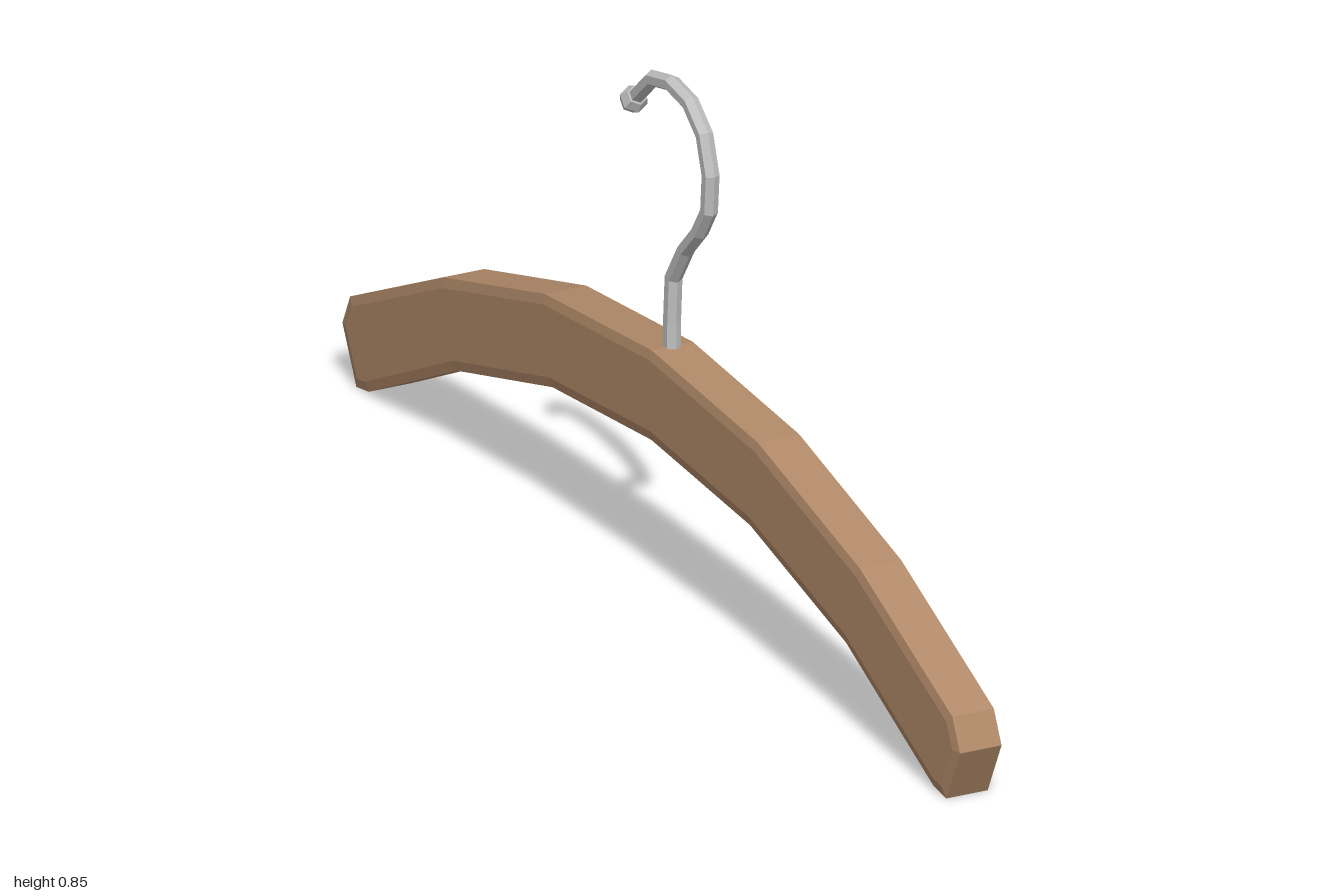
import * as THREE from 'three';

const wood = new THREE.MeshStandardMaterial({ name: 'wood', color: 0xb08968 });
const metal = new THREE.MeshStandardMaterial({ name: 'metal', color: 0xc0c0c0 });

// Faceted hexagonal rod along a path of [z, y] points in the x = 0 plane
function rodGeometry(path, radius, sides) {
  const positions = [], index = [];
  path.forEach(([z, y], i) => {
    const [z0, y0] = path[Math.max(i - 1, 0)];
    const [z1, y1] = path[Math.min(i + 1, path.length - 1)];
    const length = Math.hypot(z1 - z0, y1 - y0);
    const tz = (z1 - z0) / length, ty = (y1 - y0) / length;
    for (let k = 0; k < sides; k++) {
      const a = (k / sides) * Math.PI * 2;
      const out = radius * Math.cos(a);
      positions.push(radius * Math.sin(a), y - out * tz, z + out * ty);
      if (i < path.length - 1) {
        const n = (k + 1) % sides;
        const p = i * sides + k, q = i * sides + n;
        index.push(p, q, q + sides, p, q + sides, p + sides);
      }
    }
  });
  const geometry = new THREE.BufferGeometry();
  geometry.setAttribute('position', new THREE.Float32BufferAttribute(positions, 3));
  geometry.setIndex(index);
  return flat(geometry);
}

function flat(geometry) {
  const result = geometry.toNonIndexed();
  result.computeVertexNormals();
  return result;
}

export function createModel() {
  const group = new THREE.Group();
  group.name = 'coatHanger';

  // Curved wooden bar: half outline [z, y], mirrored, with a shallow bevel
  const half = [
    [0.32, 0.225], [0.63, 0.142], [0.915, 0.006], [0.955, 0],
    [1, 0.09], [0.975, 0.142], [0.675, 0.28], [0.345, 0.37],
  ];
  const outline = [
    [0, 0.252], ...half, [0, 0.4],
    ...half.slice().reverse().map(([z, y]) => [-z, y]),
  ];
  const shape = new THREE.Shape(outline.map(([z, y]) => new THREE.Vector2(z, y)));
  const barGeometry = new THREE.ExtrudeGeometry(shape, {
    depth: 0.072, bevelEnabled: true, bevelThickness: 0.004,
    bevelSize: 0.016, bevelOffset: -0.016, bevelSegments: 1,
  });
  barGeometry.translate(0, 0, -0.036);
  barGeometry.rotateY(-Math.PI / 2);
  const bar = new THREE.Mesh(barGeometry, wood);
  bar.name = 'woodenBar';
  group.add(bar);

  // Bent wire hook
  const path = [
    [0, 0.385], [0, 0.44], [0.005, 0.515], [0.045, 0.575], [0.09, 0.62],
    [0.12, 0.665], [0.125, 0.725], [0.105, 0.785], [0.06, 0.822],
    [0, 0.833], [-0.06, 0.82], [-0.12, 0.767],
  ];
  const hook = new THREE.Mesh(rodGeometry(path, 0.0138, 6), metal);
  hook.name = 'hook';
  group.add(hook);

  // Rounded tip, its axis in line with the end of the wire
  const tip = new THREE.Mesh(flat(new THREE.SphereGeometry(0.023, 6, 4)), metal);
  tip.name = 'hookTip';
  tip.position.set(0, 0.763, -0.124);
  tip.rotation.set(0.85, Math.PI / 6, 0);
  group.add(tip);

  return group;
}
